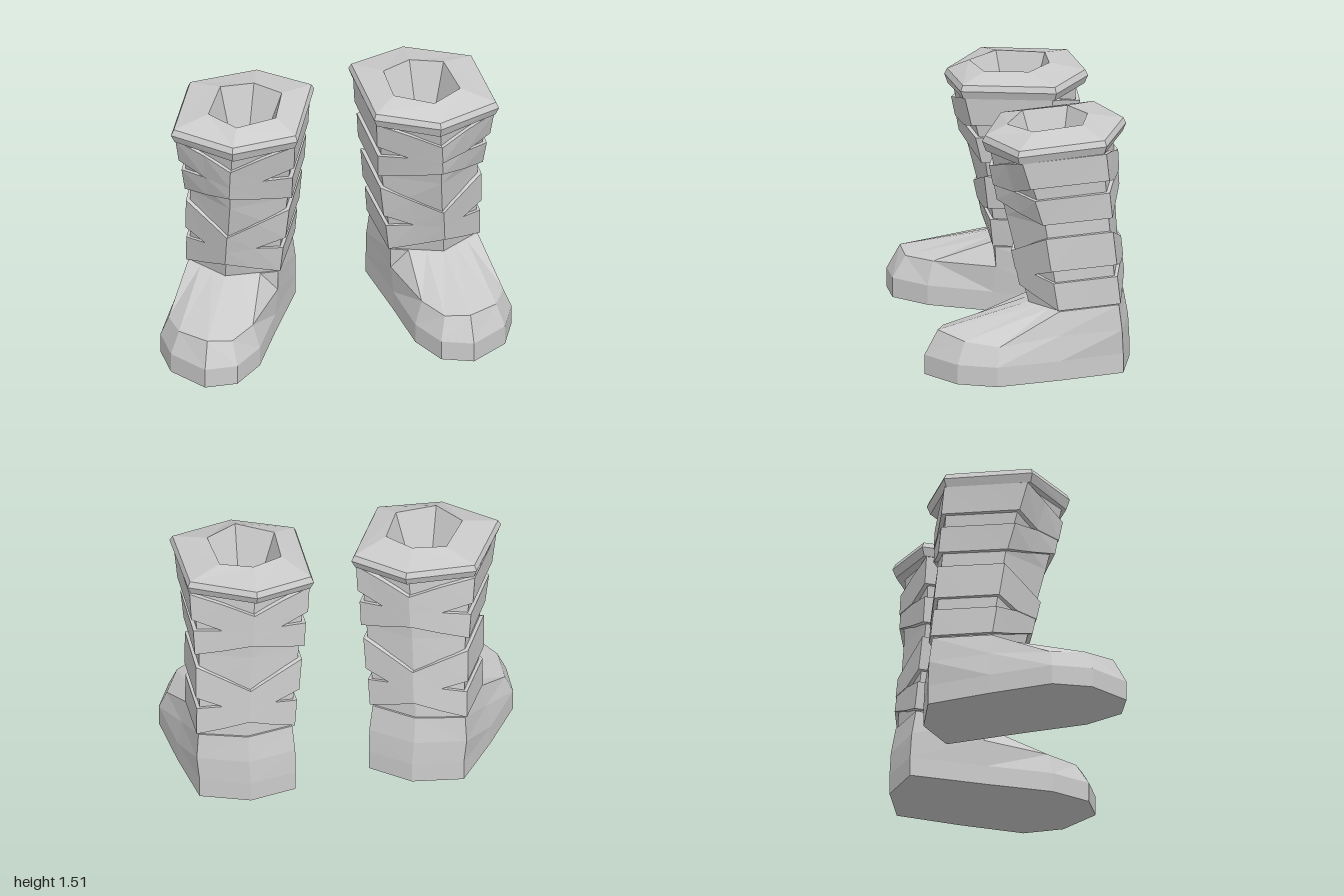
import * as THREE from 'three';

const material = new THREE.MeshStandardMaterial({ color: 0xcccccc, flatShading: true });

// Six-sided leg outline [x, z] at key heights: front, front outer, back outer, back, back inner, front inner
const LEG = [
  [0.40, [[0.09, 0.20], [0.34, 0.05], [0.34, -0.32], [0.05, -0.41], [-0.235, -0.34], [-0.22, 0.09]]],
  [0.95, [[0.04, 0.33], [0.33, 0.14], [0.34, -0.27], [0.02, -0.38], [-0.30, -0.30], [-0.30, 0.14]]],
  [1.38, [[0.01, 0.43], [0.37, 0.28], [0.37, -0.23], [0.00, -0.38], [-0.34, -0.29], [-0.34, 0.24]]],
];
const mix = (a, b, t) => a.map((v, i) => v + (b[i] - v) * t);

// Point on the leg at corner k, moved a fraction f towards the next corner, scaled about the leg axis
function legPoint(k, f, y, scale = 1) {
  const [lo, hi] = y < LEG[1][0] ? [LEG[0], LEG[1]] : [LEG[1], LEG[2]];
  const t = (y - lo[0]) / (hi[0] - lo[0]);
  const hex = lo[1].map((p, i) => mix(p, hi[1][i], t));
  const [x, z] = mix(hex[k], hex[(k + 1) % 6], f);
  const cx = hex.reduce((s, p) => s + p[0], 0) / 6;
  const cz = hex.reduce((s, p) => s + p[1], 0) / 6;
  // the leg tilts slightly upwards to the back
  return [cx + (x - cx) * scale, y - 0.05 * z, cz + (z - cz) * scale];
}

// Skin over closed rings, a one-point ring closes an end; side = -1 mirrors
function loft(name, rings, side) {
  const n = Math.max(...rings.map((r) => r.length));
  const full = rings.map((r) => (r.length === 1 ? Array(n).fill(r[0]) : r));
  const pos = [];
  const tri = (a, b, c) => {
    if (a === b || b === c || a === c) return;
    for (const p of side > 0 ? [a, b, c] : [a, c, b]) pos.push(p[0] * side, p[1], p[2]);
  };
  for (let r = 0; r + 1 < full.length; r++) {
    for (let i = 0; i < n; i++) {
      const j = (i + 1) % n;
      tri(full[r][i], full[r][j], full[r + 1][j]);
      tri(full[r][i], full[r + 1][j], full[r + 1][i]);
    }
  }
  const geometry = new THREE.BufferGeometry();
  geometry.setAttribute('position', new THREE.Float32BufferAttribute(pos, 3));
  geometry.computeVertexNormals();
  const mesh = new THREE.Mesh(geometry, material);
  mesh.name = name;
  return mesh;
}

// Foot: sole outline, upright wall, rounded upper edge, then up to the ankle
function makeFoot(side) {
  const sole = [[0.10, 0.81], [0.33, 0.66], [0.43, 0.44], [0.39, 0.05], [0.33, -0.34],
    [0.04, -0.44], [-0.24, -0.37], [-0.20, 0.10], [-0.175, 0.50], [-0.08, 0.735]];
  const upper = [[0.10, 0.27, 0.73], [0.29, 0.25, 0.61], [0.385, 0.23, 0.42], [0.365, 0.27, 0.05], [0.345, 0.27, -0.33],
    [0.05, 0.27, -0.43], [-0.24, 0.27, -0.36], [-0.21, 0.28, 0.08], [-0.13, 0.26, 0.48], [-0.04, 0.25, 0.665]];
  const ankle = [[0, 0], [0, 1 / 3], [0, 2 / 3], [1, 0], [2, 0], [3, 0], [4, 0], [5, 0], [5, 1 / 3], [5, 2 / 3]];
  return loft('foot', [
    [[0.08, 0, 0.15]],
    sole.map(([x, z]) => [x, 0, z]),
    sole.map(([x, z]) => [x, 0.12, z]),
    upper,
    ankle.map(([k, f]) => legPoint(k, f, 0.41, 0.97)),
    [[0.06, 0.42, -0.1]],
  ], side);
}

// One half of a crossed strap: heights are given for side corners, half-way points and front/back
function makeStrap(name, bottom, top, side) {
  const ring = (heights, scale) => Array.from({ length: 12 }, (_, i) => {
    const k = i >> 1, half = i % 2;
    const isEnd = k % 3 === 0 && !half;
    const sideFace = k === 1 || k === 4;
    const y = isEnd ? heights[2] : half && !sideFace ? heights[1] : heights[0];
    return legPoint(k, half / 2, y, scale);
  });
  return loft(name, [ring(bottom, 0.85), ring(bottom, 1.015), ring(top, 1), ring(top, 0.85)], side);
}

// Padded cuff with a six-sided well
function makeCuff(side) {
  const rim = [[0, 0.44], [0.39, 0.31], [0.38, -0.23], [0, -0.43], [-0.36, -0.32], [-0.36, 0.26]];
  const mouth = [[0, 0.29], [0.19, 0.17], [0.17, -0.13], [-0.02, -0.20], [-0.20, -0.12], [-0.21, 0.15]];
  const ring = (pts, s, y, dip) => pts.map(([x, z], i) => [x * s, y - 0.05 * z - (i === 0 ? dip : 0), z * s]);
  return loft('cuff', [
    ring(rim, 0.80, 1.36, 0.02),
    ring(rim, 0.95, 1.37, 0.02),
    ring(rim, 1.0, 1.42, 0.01),
    ring(rim, 0.96, 1.455, 0.01),
    ring(mouth, 1, 1.50, 0),
    [[0.01, 0.85, 0.01]],
  ], side);
}

function makeBoot(name, side) {
  const boot = new THREE.Group();
  boot.name = name;
  const shaft = [0.38, 0.51, 0.72, 0.95, 1.1, 1.24, 1.39].map((y) =>
    Array.from({ length: 6 }, (_, k) => legPoint(k, 0, y, 0.93)));
  boot.add(
    makeFoot(side),
    loft('shaft', shaft, side),
    makeStrap('lowerStrapBottom', [0.42, 0.465, 0.52], [0.59, 0.615, 0.615], side),
    makeStrap('lowerStrapTop', [0.665, 0.615, 0.615], [0.87, 0.80, 0.73], side),
    makeStrap('upperStrapBottom', [0.96, 1.0, 1.05], [1.12, 1.14, 1.14], side),
    makeStrap('upperStrapTop', [1.20, 1.14, 1.14], [1.37, 1.32, 1.26], side),
    makeCuff(side),
  );
  return boot;
}

export function createModel() {
  const model = new THREE.Group();
  model.name = 'bootPair';
  const rightBoot = makeBoot('rightBoot', -1);
  rightBoot.position.set(-0.57, 0, 0.04);
  const leftBoot = makeBoot('leftBoot', 1);
  leftBoot.position.set(0.41, 0, -0.41);
  leftBoot.rotation.y = THREE.MathUtils.degToRad(25);
  model.add(rightBoot, leftBoot);
  return model;
}
